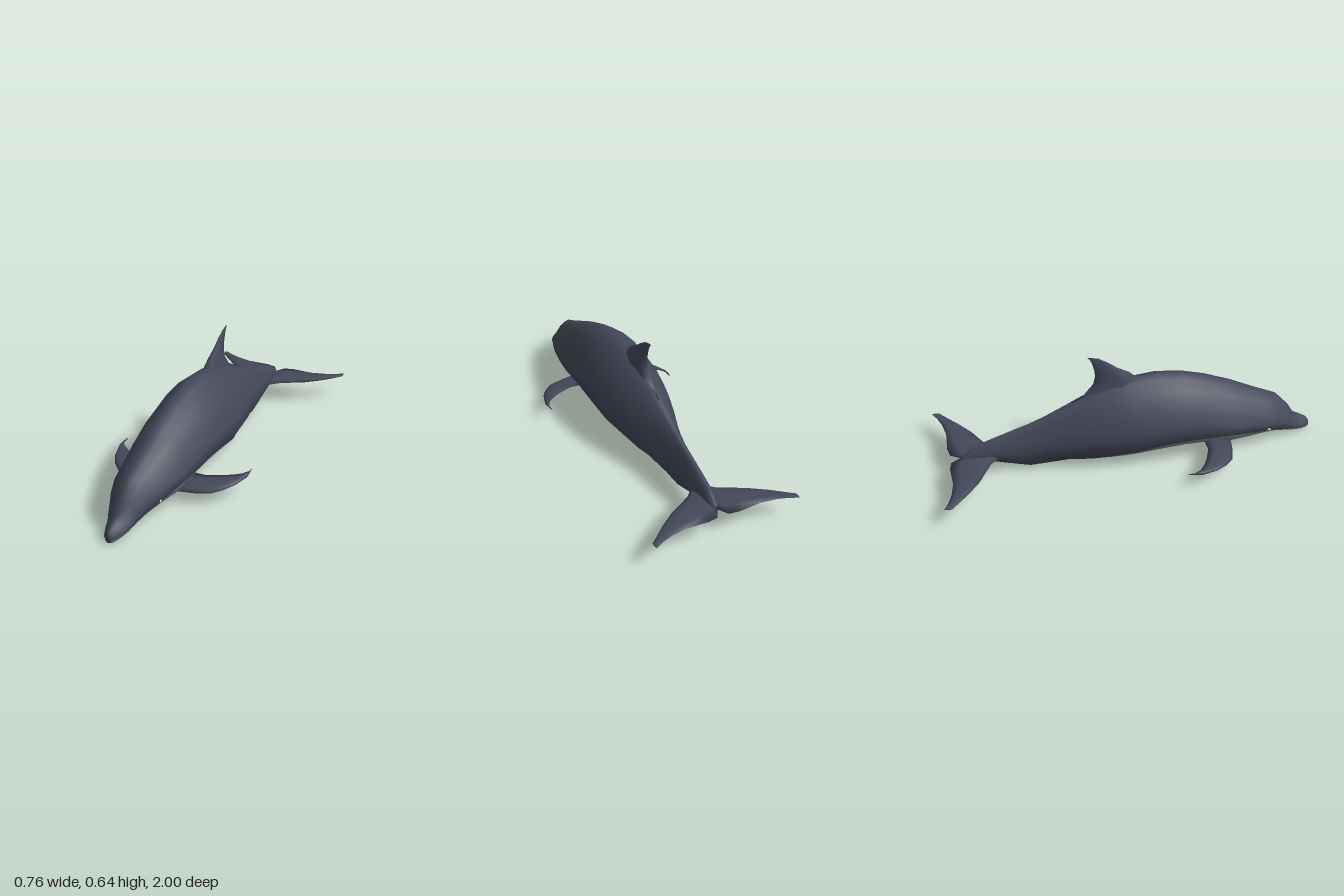
import * as THREE from 'three';

const skin = new THREE.MeshStandardMaterial({ color: 0x434859 });
skin.name = 'slate skin';
const pale = new THREE.MeshStandardMaterial({ color: 0x788683 });
pale.name = 'pale belly';
const white = new THREE.MeshStandardMaterial({ color: 0xe8eaea });
white.name = 'eye white';

// Skin closed rings of points into one smooth surface; isPale(i, j) picks the colour of each quad.
function loft(name, rings, flip, isPale = () => false) {
  const n = rings[0].length, pos = rings.flat(2), faces = [[], []];
  const tri = (a, b, c, p) => faces[p ? 1 : 0].push(...(flip ? [a, c, b] : [a, b, c]));
  for (let i = 0; i < rings.length - 1; i++) {
    for (let j = 0; j < n; j++) {
      const k = (j + 1) % n, a = i * n + j, b = i * n + k, p = isPale(i, j);
      tri(a, b, b + n, p);
      tri(a, b + n, a + n, p);
    }
  }
  // end caps
  [0, rings.length - 1].forEach((i, end) => {
    const c = pos.length / 3;
    for (let d = 0; d < 3; d++) pos.push(rings[i].reduce((s, q) => s + q[d], 0) / n);
    for (let j = 0; j < n; j++) {
      const a = i * n + j, b = i * n + (j + 1) % n;
      if (end) tri(a, b, c, false); else tri(b, a, c, false);
    }
  });
  const geo = new THREE.BufferGeometry();
  geo.setAttribute('position', new THREE.Float32BufferAttribute(pos, 3));
  geo.setIndex(faces.flat());
  geo.addGroup(0, faces[0].length, 0);
  geo.addGroup(faces[0].length, faces[1].length, 1);
  geo.computeVertexNormals();
  const mesh = new THREE.Mesh(geo, [skin, pale]);
  mesh.name = name;
  return mesh;
}

// Lens-shaped fin section from leading edge to trailing edge
const lens = [[0, 0], [0.12, 0.7], [0.4, 1], [0.75, 0.55], [1, 0], [0.75, -0.55], [0.4, -1], [0.12, -0.7]];
const foil = (lead, trail, thick) => lens.map(([s, t]) =>
  lead.map((v, d) => v + (trail[d] - v) * s + thick[d] * t));

// Girth of the body by relative height: [height, share of half width]
const girth = [[0, 0], [0.05, 0.5], [0.2, 0.84], [0.29, 0.94], [0.48, 1], [0.68, 0.79], [0.87, 0.5], [0.96, 0.21], [1, 0]];
function widthAt(t) {
  const i = Math.max(1, girth.findIndex(g => g[0] >= t));
  const [t0, w0] = girth[i - 1], [t1, w1] = girth[i];
  return w0 + (w1 - w0) * (t - t0) / (t1 - t0);
}

// Body stations: z, top, bottom, half width, height of the belly colour line
const stations = [
  [1.0, 0.045, 0.008, 0.014, 0.022],
  [0.985, 0.068, 0.002, 0.03, 0.026],
  [0.95, 0.09, 0.001, 0.045, 0.034],
  [0.905, 0.115, 0.008, 0.06, 0.045],
  [0.87, 0.175, 0.014, 0.074, 0.057],
  [0.8, 0.255, 0.034, 0.103, 0.08],
  [0.72, 0.29, 0.045, 0.132, 0.11],
  [0.6, 0.352, 0.034, 0.155, 0.134],
  [0.54, 0.383, 0.03, 0.165, 0.142],
  [0.4, 0.442, 0.048, 0.18, 0.152],
  [0.28, 0.478, 0.054, 0.187, 0.156],
  [0.15, 0.497, 0.047, 0.189, 0.148],
  [0, 0.488, 0.03, 0.181, 0.115],
  [-0.1, 0.467, 0.028, 0.164, 0.08],
  [-0.22, 0.42, 0.026, 0.133, 0.052],
  [-0.33, 0.368, 0.022, 0.1, 0.03],
  [-0.44, 0.318, 0.016, 0.07, 0],
  [-0.53, 0.282, 0.012, 0.052, 0],
  [-0.6, 0.26, 0.034, 0.045, 0],
  [-0.7, 0.226, 0.068, 0.038, 0],
  [-0.8, 0.19, 0.1, 0.03, 0],
  [-0.84, 0.16, 0.11, 0.024, 0],
  [-0.87, 0.132, 0.118, 0.01, 0],
];

function makeBody() {
  const rings = stations.map(([z, top, low, half, line]) => {
    const b = Math.max(0.025, (line - low) / (top - low));
    const heights = [1, 0.96, 0.87, 0.68, 0.48, (0.48 + b) / 2, b, b * 0.6, b * 0.25, b * 0.1, 0];
    const side = heights.map(t => [half * widthAt(t), low + (top - low) * t, z]);
    return [...side, ...side.slice(1, -1).reverse().map(([x, y]) => [-x, y, z])];
  });
  return loft('body', rings, false, (i, j) => i < 15 && j >= 6 && j < 14);
}

// Flippers and flukes: x, leading z, leading y, trailing z, trailing y, half thickness
const flipperSections = [
  [0.1, 0.53, 0.06, 0.38, 0.092, 0.016],
  [0.18, 0.515, 0.062, 0.38, 0.094, 0.014],
  [0.255, 0.49, 0.066, 0.35, 0.098, 0.012],
  [0.3, 0.445, 0.073, 0.325, 0.1, 0.01],
  [0.335, 0.39, 0.081, 0.297, 0.101, 0.008],
  [0.36, 0.31, 0.09, 0.25, 0.102, 0.006],
  [0.355, 0.235, 0.099, 0.225, 0.102, 0.003],
];
const flukeSections = [
  [0, -0.67, 0.115, -0.885, 0.122, 0.016],
  [0.03, -0.69, 0.115, -0.935, 0.124, 0.016],
  [0.08, -0.74, 0.117, -0.945, 0.126, 0.015],
  [0.2, -0.808, 0.12, -0.94, 0.128, 0.013],
  [0.28, -0.87, 0.124, -0.955, 0.131, 0.01],
  [0.335, -0.92, 0.128, -0.975, 0.133, 0.007],
  [0.38, -0.96, 0.132, -1.0, 0.135, 0.003],
];
const sideFin = (name, sections, side, isPale) => loft(name,
  sections.map(([x, zl, yl, zt, yt, h]) => foil([side * x, yl, zl], [side * x, yt, zt], [0, h, 0])),
  side > 0, isPale);

// Dorsal fin: y, leading z, trailing z, half thickness
const dorsalSections = [
  [0.38, 0.1, -0.31, 0.055],
  [0.42, 0.08, -0.235, 0.045],
  [0.48, 0.045, -0.186, 0.03],
  [0.525, 0, -0.176, 0.018],
  [0.56, -0.06, -0.178, 0.012],
  [0.6, -0.11, -0.188, 0.007],
  [0.63, -0.155, -0.2, 0.003],
  [0.642, -0.195, -0.212, 0.001],
];

export function createModel() {
  const model = new THREE.Group();
  model.name = 'dolphin';
  model.add(makeBody());
  model.add(loft('dorsalFin',
    dorsalSections.map(([y, zl, zt, h]) => foil([0, y, zl], [0, y, zt], [h, 0, 0])), false));

  for (const side of [1, -1]) {
    const label = side > 0 ? 'left' : 'right';
    // flippers are pale under the root
    model.add(sideFin(label + 'Flipper', flipperSections, side, (i, j) => i < 2 && j >= 4));
    model.add(sideFin(label + 'Fluke', flukeSections, side));

    // small eye lying on the cheek
    const eye = new THREE.Mesh(new THREE.SphereGeometry(1, 12, 8), white);
    eye.name = label + 'Eye';
    eye.scale.set(0.004, 0.006, 0.011);
    eye.position.set(side * 0.122, 0.118, 0.73);
    eye.rotation.y = side * 0.35;
    model.add(eye);
  }
  return model;
}
